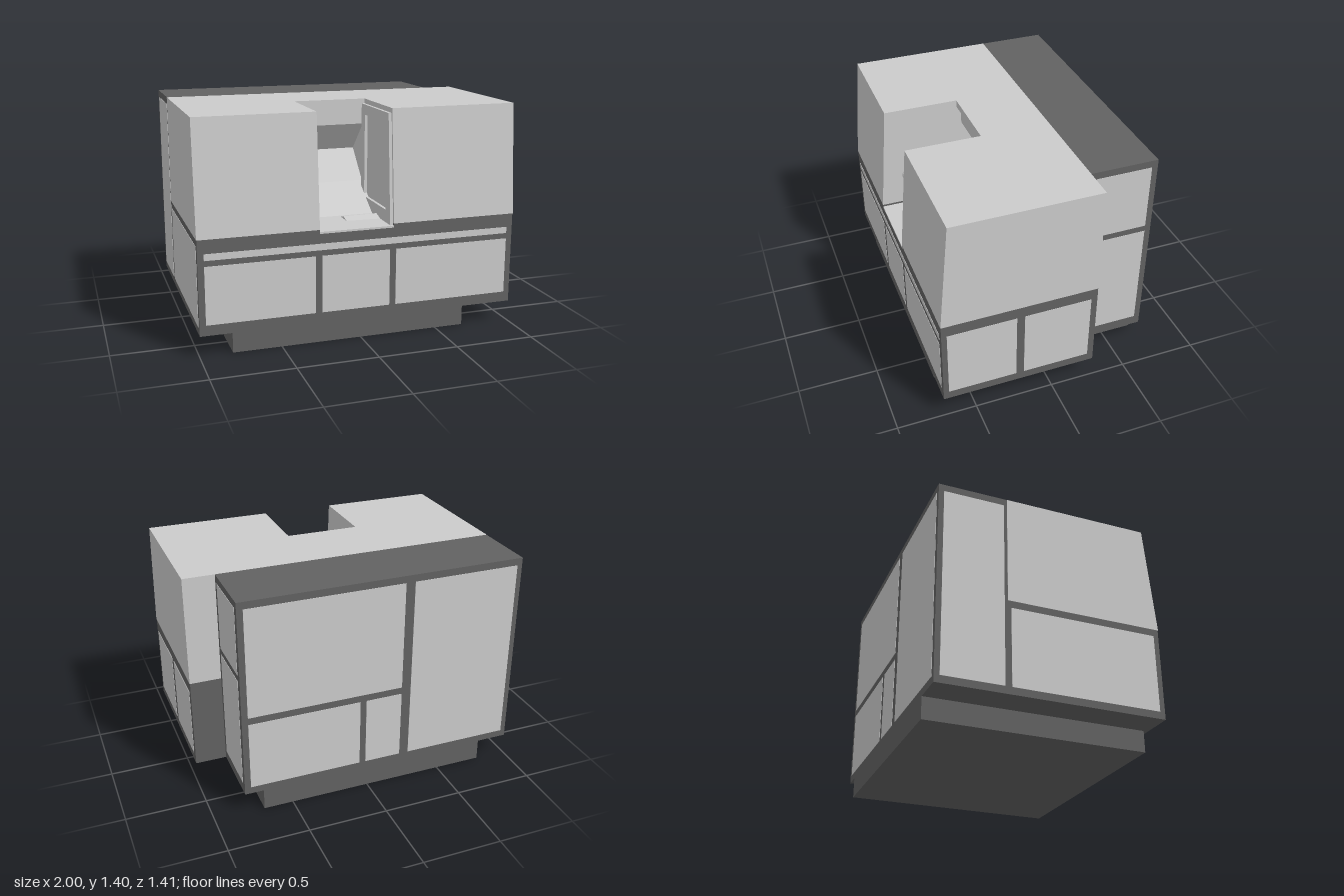
import * as THREE from 'three';

const light = new THREE.MeshStandardMaterial({ color: 0xcccccc });
const dark = new THREE.MeshStandardMaterial({ color: 0x626262 });

export function createModel() {
  const model = new THREE.Group();

  const add = (name, geometry, material) => {
    const mesh = new THREE.Mesh(geometry, material);
    mesh.name = name;
    model.add(mesh);
    return mesh;
  };

  // Box given by its limits on each axis
  const box = (name, x0, x1, y0, y1, z0, z1, material) => {
    const g = new THREE.BoxGeometry(x1 - x0, y1 - y0, z1 - z0);
    g.translate((x0 + x1) / 2, (y0 + y1) / 2, (z0 + z1) / 2);
    return add(name, g, material);
  };

  // Side profile of [z, y] points, extruded from x0 to x1
  const toPoints = (list) => list.map(([z, y]) => new THREE.Vector2(z, y));
  const sideExtrude = (name, x0, x1, outline, material, hole) => {
    const shape = new THREE.Shape(toPoints(outline));
    if (hole) shape.holes.push(new THREE.Path(toPoints(hole)));
    const g = new THREE.ExtrudeGeometry(shape, { depth: x1 - x0, bevelEnabled: false });
    g.rotateY(-Math.PI / 2).translate(x1, 0, 0);
    return add(name, g, material);
  };

  // Dark frame: plinth, lower body, rear cabinet
  box('plinth', -0.8, 0.685, 0, 0.135, -0.703, 0.675, dark);
  box('lowerBody', -0.998, 0.998, 0.135, 0.7, -0.275, 0.703, dark);
  box('rearCabinet', -0.998, 0.803, 0.135, 1.405, -0.703, -0.275, dark);

  // Light hood on both sides of the loading opening, above a dark rim
  const openL = -0.27, openR = 0.197;
  const hood = [[-0.275, 0.715], [0.705, 0.715], [0.645, 1.405], [-0.275, 1.405]];
  for (const [x0, x1] of [[-1, openL], [openR, 1]]) {
    box('rim', Math.max(x0, -0.998), Math.min(x1, 0.998), 0.7, 0.715, -0.275, 0.703, dark);
    sideExtrude('hood', x0, x1, hood, light);
  }

  // Middle of the hood: chamber floor, chip slopes, overhanging back and lintel
  sideExtrude('chamber', openL, openR, [
    [-0.275, 0.69], [0.704, 0.69], [0.704, 0.702], [0.38, 0.702], [0.13, 0.865], [-0.05, 1.05],
    [0.14, 1.24], [0.14, 1.36], [0.17, 1.36], [0.17, 1.405], [-0.275, 1.405],
  ], light);

  // Door edge with a window frame on the right wall of the opening
  sideExtrude('doorFrame', 0.178, openR,
    [[0.17, 0.702], [0.69, 0.702], [0.635, 1.375], [0.17, 1.375]], light,
    [[0.23, 0.78], [0.61, 0.78], [0.57, 1.31], [0.23, 1.31]]);

  // Spindle ring in the left wall
  const ring = add('spindleRing', new THREE.TorusGeometry(0.04, 0.008, 8, 32), light);
  ring.rotation.y = Math.PI / 2;
  ring.position.set(openL + 0.003, 0.92, 0.51);
  const bore = add('spindleBore', new THREE.CylinderGeometry(0.036, 0.036, 0.006, 32), dark);
  bore.rotation.z = Math.PI / 2;
  bore.position.copy(ring.position);

  // Low tapered ridge on the chamber floor
  const ridge = new THREE.CylinderGeometry(0.055, 0.066, 0.22, 4, 1).toNonIndexed();
  ridge.computeVertexNormals();
  ridge.scale(0.28, 1, 1).rotateZ(Math.PI / 2).translate(0.07, 0.702, 0.457);
  ridge.computeVertexNormals();
  add('floorRidge', ridge, light);

  // Cover panels, standing just proud of the frame
  const t = 0.004;
  const frontPanels = [
    [-0.96, 0.96, 0.59, 0.63],
    [-0.96, -0.295, 0.2, 0.555], [-0.255, 0.175, 0.2, 0.555], [0.215, 0.96, 0.2, 0.555],
  ];
  for (const [x0, x1, y0, y1] of frontPanels) box('frontPanel', x0, x1, y0, y1, 0.705 - t, 0.705, light);

  const backPanels = [
    [-0.22, 0.765, 0.665, 1.36], [0.055, 0.765, 0.18, 0.62],
    [-0.22, 0.015, 0.18, 0.62], [-0.965, -0.28, 0.18, 1.36],
  ];
  for (const [x0, x1, y0, y1] of backPanels) box('backPanel', x0, x1, y0, y1, -0.705, -0.705 + t, light);

  // Side panels: outer x, then z and y limits
  const sidePanels = [
    [1, 0.24, 0.67, 0.19, 0.64], [1, -0.235, 0.19, 0.19, 0.64],
    [0.805, -0.665, -0.31, 0.2, 0.9], [0.805, -0.665, -0.31, 0.94, 1.36],
    [-1, -0.255, 0.67, 0.18, 0.67], [-1, -0.67, -0.295, 0.18, 1.36],
  ];
  for (const [x, z0, z1, y0, y1] of sidePanels) {
    const inner = x - Math.sign(x) * t;
    box('sidePanel', Math.min(x, inner), Math.max(x, inner), y0, y1, z0, z1, light);
  }

  return model;
}
